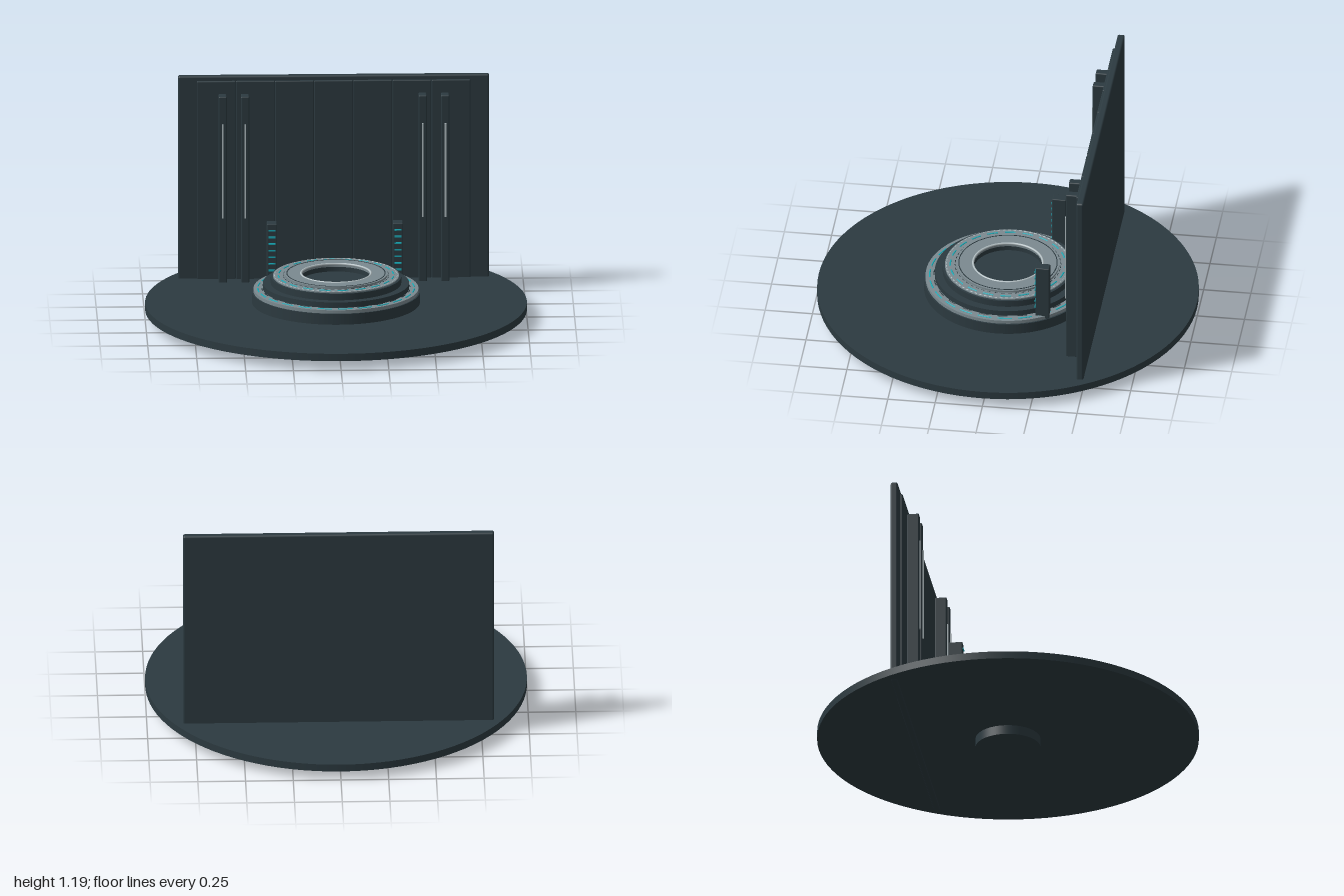
import * as THREE from 'three';
import { RoundedBoxGeometry } from 'three/addons/geometries/RoundedBoxGeometry.js';

const material = (name, color) => new THREE.MeshStandardMaterial({ name, color });

export function createModel() {
  const model = new THREE.Group();
  model.name = 'displayStage';
  const dark = material('dark slate', 0x2c3a40);
  const grey = material('brushed grey', 0x7b8a90);
  const pale = material('pale light', 0xb4c0c4);
  const teal = material('teal glow', 0x18aebb);

  const add = (name, geometry, mat, x = 0, y = 0, z = 0, parent = model) => {
    const mesh = new THREE.Mesh(geometry, mat);
    mesh.name = name;
    mesh.position.set(x, y, z);
    parent.add(mesh);
    return mesh;
  };
  // Box given by its limits, with softened edges
  const block = (name, mat, x, w, y0, y1, z0, z1, r = 0.005) =>
    add(name, new RoundedBoxGeometry(w, y1 - y0, z1 - z0, 2, r), mat, x, (y0 + y1) / 2, (z0 + z1) / 2);
  const disc = (name, mat, r, y0, y1) =>
    add(name, new THREE.CylinderGeometry(r, r, y1 - y0, 96), mat, 0, (y0 + y1) / 2, 0);
  // Flat-topped ring with an open centre
  const ring = (name, mat, inner, outer, y0, y1) => {
    const shape = new THREE.Shape().absarc(0, 0, outer, 0, Math.PI * 2);
    shape.holes.push(new THREE.Path().absarc(0, 0, inner, 0, Math.PI * 2, true));
    const g = new THREE.ExtrudeGeometry(shape, { depth: y1 - y0, bevelEnabled: false, curveSegments: 96 });
    return add(name, g.rotateX(-Math.PI / 2), mat, 0, y0, 0);
  };
  // Circle of short glowing arcs
  const dashes = (name, mat, r, y, count, fill, tube) => {
    const group = new THREE.Group();
    group.name = name;
    model.add(group);
    const step = (Math.PI * 2) / count;
    const g = new THREE.TorusGeometry(r, tube, 6, 8, step * fill).rotateX(-Math.PI / 2);
    for (let i = 0; i < count; i++) add('lightArc', g, mat, 0, y, 0, group).rotation.y = i * step;
  };

  // Floor and the foot beneath it
  disc('floorDisc', dark, 1, 0.05, 0.09);
  disc('foot', dark, 0.17, 0, 0.06);

  // Stepped round pedestal with an open centre
  ring('pedestalBase', dark, 0.18, 0.44, 0.085, 0.148);
  ring('outerTrim', grey, 0.37, 0.432, 0.148, 0.166);
  ring('middleStep', dark, 0.18, 0.383, 0.148, 0.195);
  ring('upperStep', dark, 0.18, 0.342, 0.195, 0.23);
  ring('upperTrim', grey, 0.18, 0.33, 0.23, 0.236);
  ring('topRing', grey, 0.18, 0.27, 0.236, 0.247);
  ring('topRingGroove', dark, 0.255, 0.26, 0.247, 0.2485);
  disc('centreFloor', dark, 0.18, 0.085, 0.205);
  add('centreRim', new THREE.TorusGeometry(0.183, 0.006, 8, 96).rotateX(-Math.PI / 2), pale, 0, 0.245, 0);

  // Glowing arcs and fine notches on the trims
  dashes('outerLights', teal, 0.41, 0.166, 24, 0.7, 0.004);
  dashes('innerLights', teal, 0.302, 0.236, 20, 0.6, 0.004);
  dashes('outerNotches', dark, 0.388, 0.166, 24, 0.5, 0.003);
  dashes('upperBeads', pale, 0.322, 0.236, 72, 0.5, 0.003);
  dashes('innerBeads', dark, 0.277, 0.236, 48, 0.6, 0.002);

  // Back wall faced with seven vertical panels
  block('backWall', dark, 0, 1.63, 0.045, 1.19, -0.508, -0.47, 0.01);
  for (let i = -3; i <= 3; i++)
    block('wallPanel', dark, i * 0.205, 0.203, 0.08, 1.165, -0.475, -0.457, 0.005);

  for (const side of [-1, 1]) {
    // Tall wall fins with a narrow pale light
    for (const x of [0.465, 0.583]) {
      block('wallFin', dark, side * x, 0.043, 0.085, 1.1, -0.45, -0.387, 0.006);
      add('finLight', new THREE.BoxGeometry(0.01, 0.51, 0.008), pale, side * x, 0.695, -0.385);
    }
    // Short posts on the pedestal with stacked lights
    block('post', dark, side * 0.33, 0.052, 0.15, 0.46, -0.265, -0.192, 0.004);
    for (let i = 0; i < 7; i++)
      add('postLight', new THREE.BoxGeometry(0.035, 0.008, 0.008), teal, side * 0.33, 0.21 + i * 0.036, -0.191);
  }
  return model;
}
